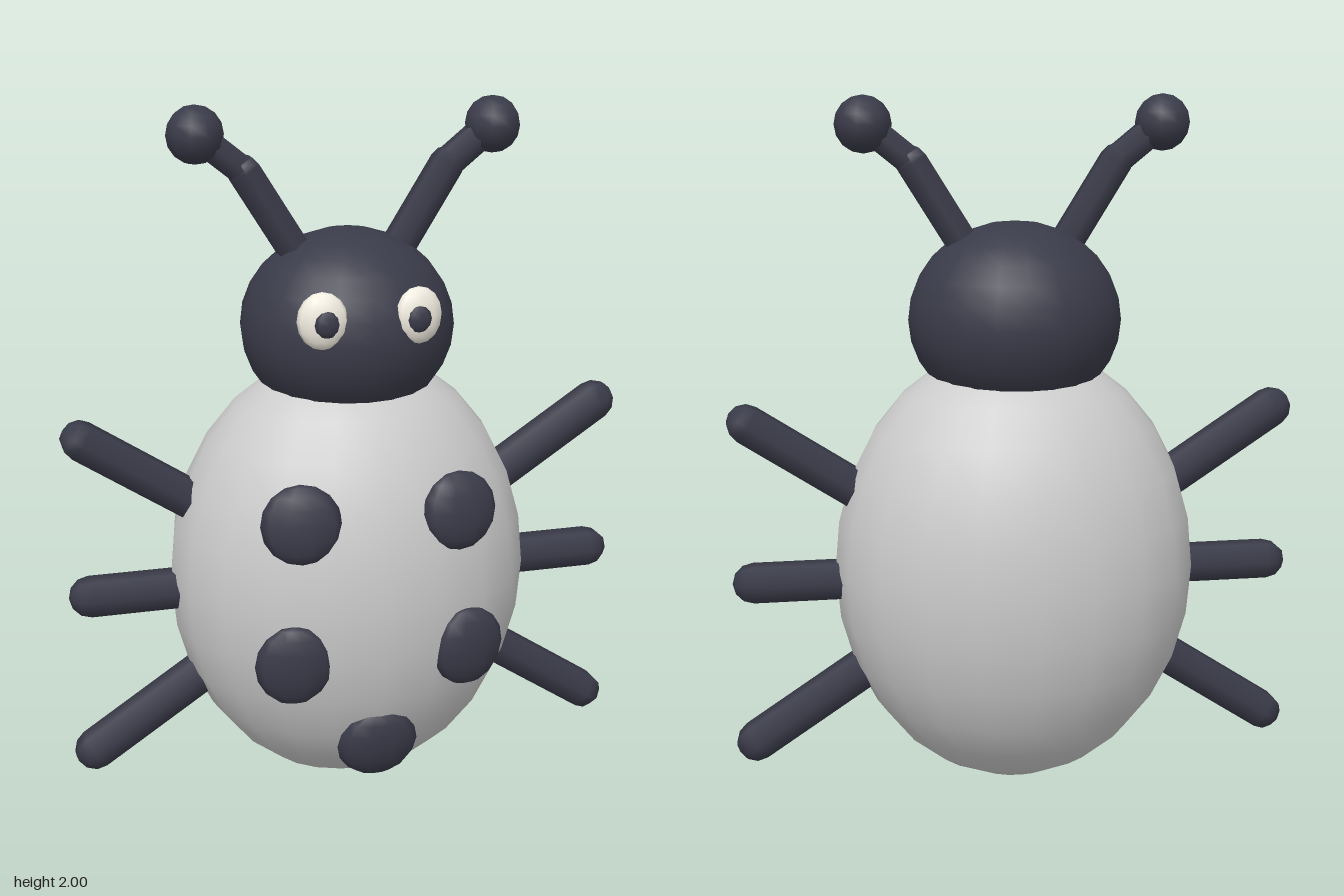
import * as THREE from 'three';

const grey = new THREE.MeshStandardMaterial({ color: 0xcccccc });
const dark = new THREE.MeshStandardMaterial({ color: 0x3a3b49 });
const white = new THREE.MeshStandardMaterial({ color: 0xf0ebdf });

// Ellipsoid with given centre, radii and tilt
function ellipsoid(name, material, pos, radii, [ws, hs], rot = [0, 0, 0]) {
  const geo = new THREE.SphereGeometry(1, ws, hs);
  const mesh = new THREE.Mesh(geo, material);
  mesh.name = name;
  mesh.position.set(...pos);
  mesh.scale.set(...radii);
  mesh.rotation.set(...rot);
  return mesh;
}

// Six-sided round-ended rod between two points of the z = 0 plane
function rod(name, [x0, y0], [x1, y1], radius) {
  const a = new THREE.Vector3(x0, y0, 0);
  const b = new THREE.Vector3(x1, y1, 0);
  const dir = b.clone().sub(a);
  const geo = new THREE.CapsuleGeometry(radius, dir.length(), 3, 6);
  geo.rotateY(Math.PI / 2);
  const mesh = new THREE.Mesh(geo, dark);
  mesh.name = name;
  mesh.position.copy(a).add(b).multiplyScalar(0.5);
  mesh.quaternion.setFromUnitVectors(new THREE.Vector3(0, 1, 0), dir.normalize());
  return mesh;
}

export function createModel() {
  const model = new THREE.Group();
  model.name = 'ladybug';

  // Body and head
  model.add(ellipsoid('body', grey, [0, 0.652, 0], [0.525, 0.647, 0.42], [20, 14]));
  model.add(ellipsoid('head', dark, [0, 1.375, 0], [0.305, 0.275, 0.282], [20, 14]));

  for (const [side, s] of [['left', 1], ['right', -1]]) {
    // Legs
    const legs = [
      ['FrontLeg', [0.36, 0.825], [0.765, 1.09]],
      ['MiddleLeg', [0.36, 0.625], [0.76, 0.625]],
      ['BackLeg', [0.36, 0.41], [0.765, 0.145]],
    ];
    for (const [name, a, b] of legs) {
      model.add(rod(side + name, [s * a[0], a[1]], [s * b[0], b[1]], 0.06));
    }

    // Bent antenna with a ball tip
    const antenna = new THREE.Group();
    antenna.name = side + 'Antenna';
    antenna.add(rod('antennaBase', [s * 0.15, 1.59], [s * 0.29, 1.815], 0.05));
    antenna.add(rod('antennaEnd', [s * 0.29, 1.815], [s * 0.42, 1.92], 0.045));
    antenna.add(ellipsoid('antennaTip', dark, [s * 0.423, 1.92, 0], [0.08, 0.08, 0.08], [10, 8]));
    model.add(antenna);

    // Eye and pupil
    const eye = new THREE.Group();
    eye.name = side + 'Eye';
    eye.add(ellipsoid('eyeWhite', white, [s * 0.135, 1.445, 0.241], [0.07, 0.079, 0.034], [12, 8], [-0.06, s * 0.15, 0]));
    eye.add(ellipsoid('pupil', dark, [s * 0.128, 1.44, 0.268], [0.036, 0.038, 0.016], [8, 6]));
    model.add(eye);

    // Paired spots
    model.add(ellipsoid(side + 'UpperSpot', dark, [s * 0.225, 0.912, 0.35], [0.112, 0.112, 0.042], [10, 8], [-0.12, s * 0.14, 0]));
    model.add(ellipsoid(side + 'LowerSpot', dark, [s * 0.253, 0.508, 0.364], [0.108, 0.118, 0.042], [10, 8], [0.06, s * 0.14, 0]));
  }

  // Single spot at the bottom
  model.add(ellipsoid('bottomSpot', dark, [0, 0.22, 0.322], [0.118, 0.108, 0.042], [10, 8], [0.2, 0, 0]));

  return model;
}
